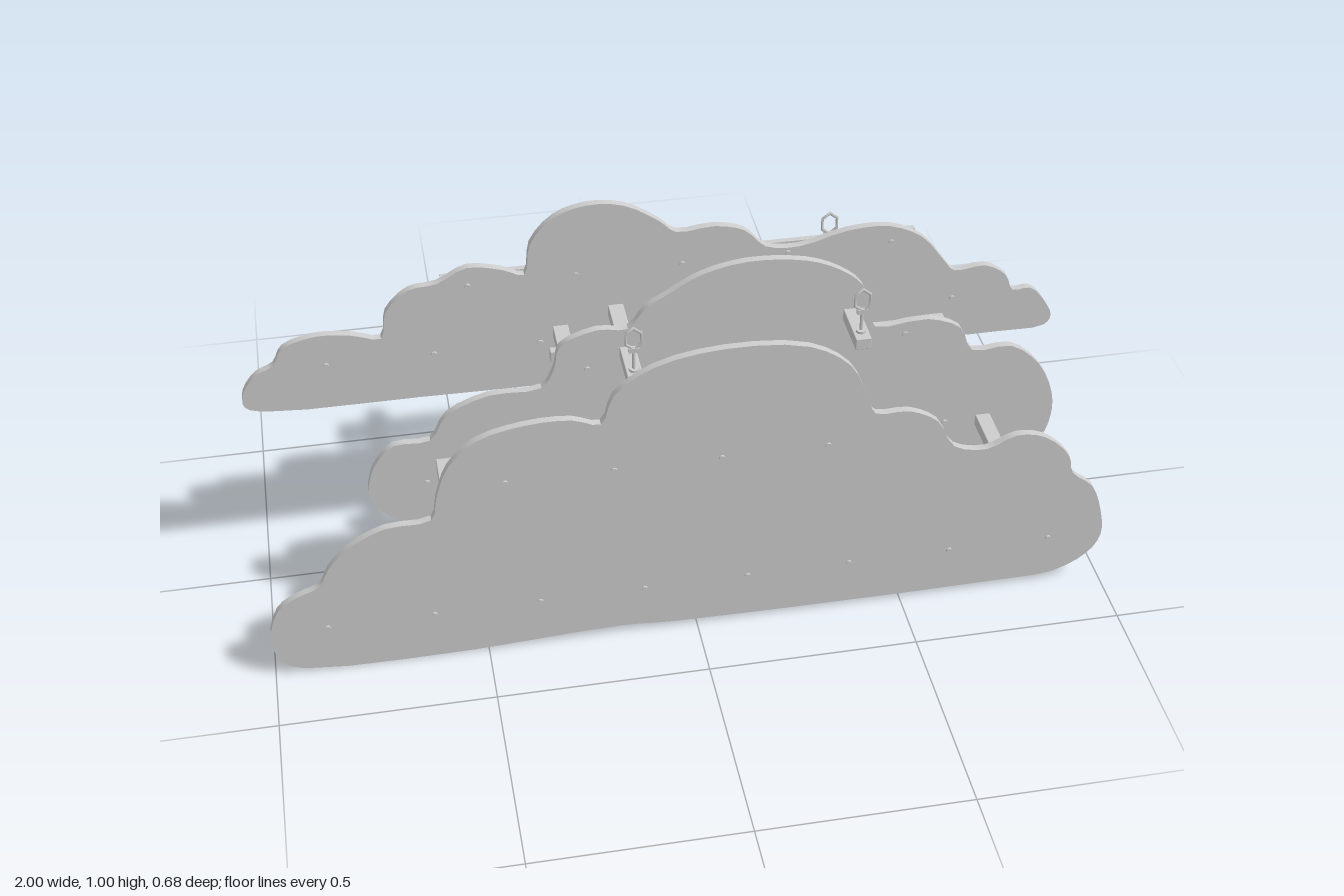
import * as THREE from 'three';
import { toCreasedNormals } from 'three/addons/utils/BufferGeometryUtils.js';
import { RoundedBoxGeometry } from 'three/addons/geometries/RoundedBoxGeometry.js';

const paint = new THREE.MeshStandardMaterial({ color: 0xcccccc });
paint.name = 'lightGrey';

// Cloud outlines as x, y pairs, clockwise from the lower left
const frontOutline = [
  -1, .11, -.975, .2, -.93, .235, -.875, .26, -.85, .31, -.8, .365, -.715, .41, -.61, .42, -.595, .48,
  -.565, .565, -.5, .63, -.39, .66, -.285, .66, -.22, .64, -.19, .715, -.1, .78, .06, .81, .25, .79,
  .345, .725, .39, .63, .41, .58, .49, .575, .56, .535, .605, .455, .685, .435, .755, .465, .825, .45,
  .89, .385, .905, .33, .96, .28, .99, .2, 1, .12, .97, .065, .89, .02, .755, .012, -.05, .012,
  -.18, .02, -.47, .006, -.58, .002, -.93, .012, -.98, .04];
const middleOutline = [
  -.74, .37, -.735, .42, -.72, .46, -.675, .51, -.59, .515, -.55, .58, -.45, .625, -.33, .63, -.3, .68,
  -.285, .74, -.2, .775, -.13, .77, -.09, .82, -.035, .855, .035, .895, .14, .918, .275, .905, .355, .87,
  .41, .82, .435, .74, .445, .7, .57, .705, .65, .67, .685, .6, .78, .6, .855, .535, .895, .445,
  .9, .375, .88, .31, .83, .28, .7, .275, .1, .275, 0, .28, -.2, .27, -.6, .272, -.7, .305];
const backOutline = [
  -1, .54, -1, .58, -.965, .63, -.925, .65, -.9, .695, -.82, .72, -.74, .712, -.675, .695, -.66, .765,
  -.605, .82, -.54, .83, -.47, .865, -.39, .85, -.34, .83, -.325, .91, -.27, .975, -.195, 1, -.11, .99,
  -.03, .94, .01, .905, .1, .91, .17, .89, .22, .84, .3, .83, .415, .86, .515, .86, .595, .82,
  .65, .75, .68, .715, .755, .72, .81, .685, .83, .64, .875, .64, .915, .595, .935, .55, .92, .525,
  .8, .52, 0, .52, -.15, .512, -.6, .515, -.95, .522];

function add(parent, name, geometry, x = 0, y = 0, z = 0) {
  const mesh = new THREE.Mesh(geometry, paint);
  mesh.name = name;
  mesh.position.set(x, y, z);
  parent.add(mesh);
  return mesh;
}

const THICK = 0.018;
const STEP = 0.2475;

// A cloud-shaped board with battens on its back, each held by a row of screws
function cloudPanel(name, outline, z, battens) {
  const group = new THREE.Group();
  group.name = name;
  const anchors = [];
  for (let i = 0; i < outline.length; i += 2) anchors.push(new THREE.Vector3(outline[i], outline[i + 1], 0));
  const curve = new THREE.CatmullRomCurve3(anchors, true);
  const points = curve.getPoints(anchors.length * 3).slice(0, -1).map(p => new THREE.Vector2(p.x, p.y));
  const board = new THREE.ExtrudeGeometry(new THREE.Shape(points), { depth: THICK, bevelEnabled: false });
  add(group, 'cloudBoard', toCreasedNormals(board, 0.6), 0, 0, z);
  for (const { y, from, to, firstScrew, screws } of battens) {
    add(group, 'batten', new THREE.BoxGeometry(to - from, 0.037, 0.014), (from + to) / 2, y, z - 0.007);
    for (let i = 0; i < screws; i++) {
      const screw = new THREE.CylinderGeometry(0.007, 0.007, 0.044, 10).rotateX(Math.PI / 2);
      add(group, 'screw', screw, firstScrew + i * STEP, y, z + 0.001);
    }
  }
  return group;
}

// A square beam running front to back
function beam(parent, name, x, y, z0, z1) {
  return add(parent, name, new RoundedBoxGeometry(0.036, 0.03, z1 - z0, 1, 0.002), x, y, (z0 + z1) / 2);
}

// A small angular eye bolt standing on a beam
function eyeBolt(x, y, z) {
  const group = new THREE.Group();
  group.name = 'eyeBolt';
  group.position.set(x, y, z);
  add(group, 'foot', new THREE.CylinderGeometry(0.012, 0.012, 0.006, 8), 0, 0.003, 0);
  add(group, 'shaft', new THREE.CylinderGeometry(0.004, 0.004, 0.06, 8), 0, 0.03, 0);
  add(group, 'collar', new THREE.BoxGeometry(0.024, 0.012, 0.009), 0, 0.056, 0);
  const ring = new THREE.TorusGeometry(0.02, 0.0035, 6, 6).rotateZ(Math.PI / 6);
  add(group, 'eye', ring.scale(1, 1.4, 1), 0, 0.086, 0);
  return group;
}

// Slatted platform behind the back cloud, with slightly uneven boards
function platform() {
  const group = new THREE.Group();
  group.name = 'slattedPlatform';
  for (const x of [-0.272, 0.265]) beam(group, 'platformBearer', x, 0.602, -0.34, 0.025);
  const tilts = [0.008, -0.004, 0.006, -0.007, 0.012];
  tilts.forEach((tilt, i) => {
    const slat = new RoundedBoxGeometry(0.71, 0.016, 0.038, 2, 0.006);
    add(group, 'slat', slat, -0.005, 0.624, -0.069 - i * 0.051).rotation.set(tilt * 6, tilt, 0);
  });
  return group;
}

export function createModel() {
  const model = new THREE.Group();
  model.name = 'layeredClouds';

  model.add(cloudPanel('frontCloud', frontOutline, 0.32, [
    { y: 0.132, from: -0.92, to: 0.9, firstScrew: -0.868, screws: 8 },
    { y: 0.504, from: -0.5, to: 0.36, firstScrew: -0.44, screws: 4 }]));
  model.add(cloudPanel('middleCloud', middleOutline, 0.154, [
    { y: 0.393, from: -0.67, to: 0.75, firstScrew: -0.605, screws: 6 },
    { y: 0.67, from: -0.27, to: 0.57, firstScrew: -0.225, screws: 4 }]));
  model.add(cloudPanel('backCloud', backOutline, -0.011, [
    { y: 0.636, from: -0.87, to: 0.74, firstScrew: -0.805, screws: 7 },
    { y: 0.816, from: -0.53, to: 0.58, firstScrew: -0.47, screws: 5 }]));

  // Beams joining neighbouring clouds
  beam(model, 'frontSpacer', -0.563, 0.443, 0.12, 0.32);
  beam(model, 'frontSpacer', 0.727, 0.388, 0.12, 0.32);
  beam(model, 'backSpacer', -0.262, 0.663, -0.045, 0.155);
  beam(model, 'backSpacer', 0.642, 0.579, -0.045, 0.155);

  // Long hanging beams with an eye bolt at each end
  for (const [x, y] of [[-0.132, 0.706], [0.385, 0.744]]) {
    beam(model, 'hangingBeam', x, y, -0.08, 0.29);
    for (const z of [-0.052, 0.261]) model.add(eyeBolt(x, y + 0.015, z));
  }

  model.add(platform());
  return model;
}
